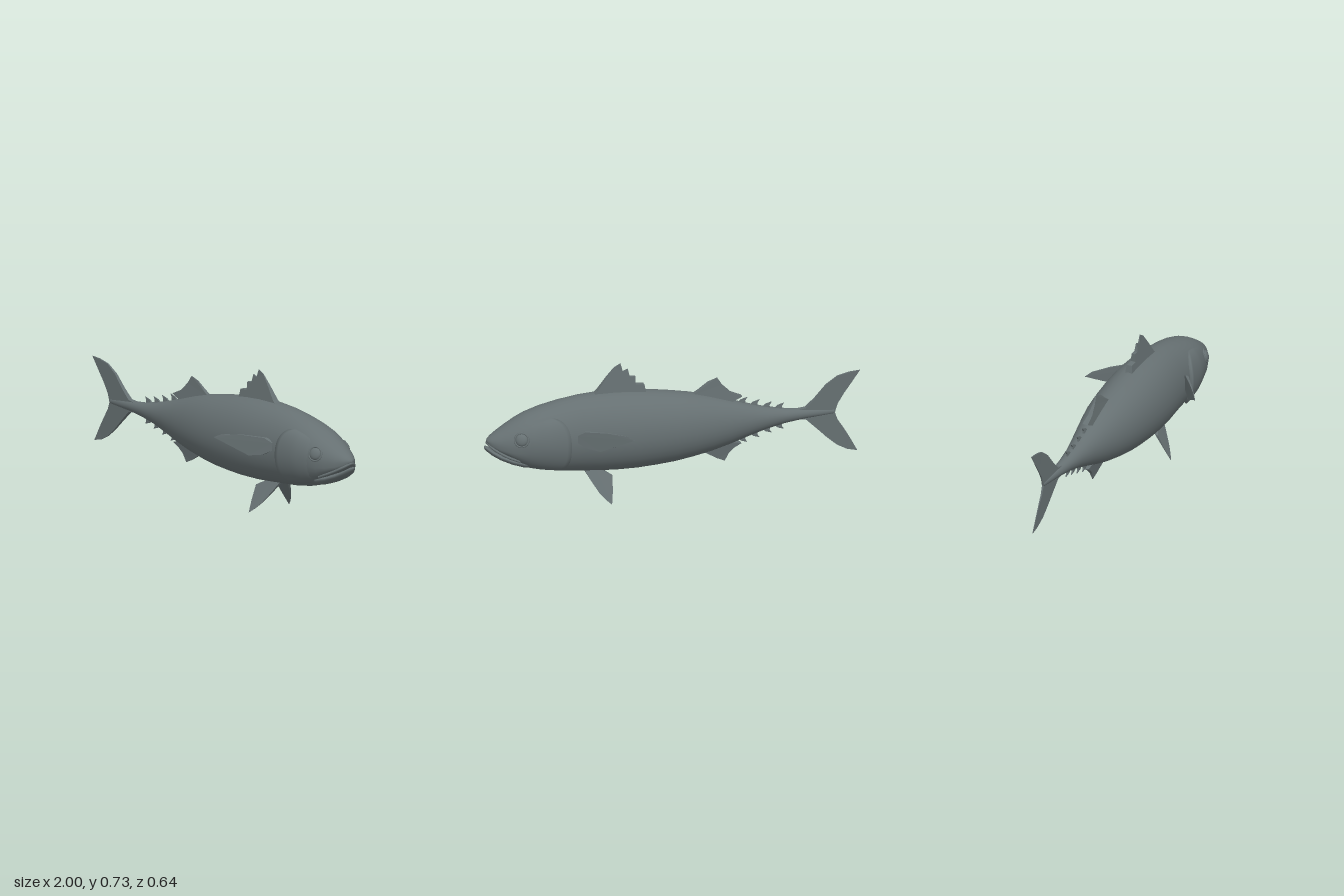
import * as THREE from 'three';

const skin = new THREE.MeshStandardMaterial({ color: 0x667072 });
skin.name = 'slate grey';

// Cross-sections: x, top, bottom, widest height, half width, lower roundness
const BODY = [
  [-0.86, 0.37, 0.345, 0.358, 0.008, 1], [-0.78, 0.38, 0.338, 0.358, 0.016, 1],
  [-0.7, 0.388, 0.332, 0.36, 0.026, 1], [-0.6, 0.396, 0.318, 0.36, 0.038, 1],
  [-0.5, 0.415, 0.295, 0.357, 0.052, 1], [-0.4, 0.442, 0.264, 0.355, 0.073, 1],
  [-0.3, 0.473, 0.231, 0.352, 0.097, 1], [-0.2, 0.503, 0.203, 0.35, 0.12, 1],
  [-0.1, 0.528, 0.182, 0.35, 0.14, 1], [0, 0.545, 0.165, 0.35, 0.153, 1],
  [0.1, 0.559, 0.155, 0.35, 0.161, 1], [0.2, 0.57, 0.148, 0.35, 0.165, 1],
  [0.3, 0.575, 0.147, 0.35, 0.165, 1], [0.4, 0.574, 0.15, 0.35, 0.159, 1],
  [0.5, 0.566, 0.158, 0.35, 0.149, 1], [0.6, 0.549, 0.165, 0.35, 0.143, 1],
  [0.7, 0.524, 0.18, 0.35, 0.141, 1], [0.78, 0.496, 0.202, 0.35, 0.13, 0.9],
  [0.83, 0.472, 0.24, 0.345, 0.116, 0.75], [0.88, 0.443, 0.278, 0.342, 0.096, 0.6],
  [0.93, 0.411, 0.305, 0.345, 0.07, 0.55], [0.965, 0.386, 0.327, 0.352, 0.043, 0.6],
  [0.982, 0.371, 0.342, 0.357, 0.023, 0.8], [0.988, 0.36, 0.353, 0.357, 0.004, 1],
];
const JAW = [
  [0.7, 0.3, 0.188, 0.25, 0.085, 1], [0.8, 0.262, 0.206, 0.24, 0.085, 1],
  [0.86, 0.27, 0.226, 0.255, 0.077, 1], [0.92, 0.293, 0.253, 0.278, 0.06, 1],
  [0.96, 0.313, 0.278, 0.3, 0.043, 1], [0.985, 0.327, 0.3, 0.317, 0.026, 1],
  [0.996, 0.33, 0.312, 0.323, 0.014, 1], [1, 0.325, 0.32, 0.323, 0.003, 1],
];

// Point on a section at an angle measured from its +z side, pushed out by off
function ringPoint([x, top, bot, mid, w, e], a, off = 0) {
  const s = Math.sin(a), c = Math.cos(a);
  const y = s > 0 ? mid + (top - mid + off) * s : mid - (mid - bot + off) * Math.pow(-s, e);
  const k = s > 0 ? 1 : e;
  return [x, y, (w + off) * Math.sign(c) * Math.pow(Math.abs(c), k)];
}

function sectionAt(x) {
  let i = 1;
  while (i < BODY.length - 1 && BODY[i][0] < x) i++;
  const a = BODY[i - 1], b = BODY[i], t = (x - a[0]) / (b[0] - a[0]);
  return a.map((v, k) => v + (b[k] - v) * t);
}

function buildGeometry(pos, idx) {
  const g = new THREE.BufferGeometry();
  g.setAttribute('position', new THREE.Float32BufferAttribute(pos, 3));
  g.setIndex(idx);
  g.computeVertexNormals();
  return g;
}

// Closed skin through the sections, with both ends capped
function loft(sections, n = 32) {
  const pos = [], idx = [], last = sections.length - 1;
  for (const s of sections)
    for (let j = 0; j < n; j++) pos.push(...ringPoint(s, (j / n) * Math.PI * 2));
  for (let i = 0; i < last; i++)
    for (let j = 0; j < n; j++) {
      const a = i * n + j, b = i * n + (j + 1) % n;
      idx.push(a, a + n, b, b, a + n, b + n);
    }
  [0, last].forEach((i) => {
    const c = pos.length / 3;
    pos.push(sections[i][0], sections[i][3], 0);
    for (let j = 0; j < n; j++) {
      const a = i * n + j, b = i * n + (j + 1) % n;
      idx.push(...(i === 0 ? [c, a, b] : [c, b, a]));
    }
  });
  return buildGeometry(pos, idx);
}

// Gill cover: a raised patch of the head with a curved rear lip
function gillCover(side) {
  const pos = [], idx = [], U = 12, V = 20;
  for (let i = 0; i <= U; i++)
    for (let j = 0; j <= V; j++) {
      const v = (j / V) * 2 - 1, a = -0.1 + v * 0.98;
      const rear = 0.57 + 0.09 * Math.pow(Math.abs(v), 3);
      const s = Math.max(0, (i - 1) / (U - 1));
      const fade = (1 - s * s) * (1 - Math.pow(v, 6));
      const off = i === 0 ? -0.012 : 0.018 * fade - 0.003;
      const p = ringPoint(sectionAt(rear + (0.8 - rear) * s), a, off);
      pos.push(p[0], p[1], p[2] * side);
    }
  for (let i = 0; i < U; i++)
    for (let j = 0; j < V; j++) {
      const a = i * (V + 1) + j, b = a + 1, c = a + V + 1, d = c + 1;
      idx.push(...(side > 0 ? [a, c, b, b, c, d] : [a, b, c, b, d, c]));
    }
  return buildGeometry(pos, idx);
}

// Fin: an outline whose half thickness and sideways shift follow rules of x, y
function fin(points, half, shift = () => 0) {
  const shape = new THREE.Shape(points.map((p) => new THREE.Vector2(...p)));
  const g = new THREE.ExtrudeGeometry(shape, { depth: 1, bevelEnabled: false });
  const p = g.attributes.position;
  for (let i = 0; i < p.count; i++) {
    const x = p.getX(i), y = p.getY(i), s = p.getZ(i) > 0.5 ? 1 : -1;
    p.setZ(i, s * Math.max(0.0015, half(x, y)) + shift(x, y));
  }
  g.computeVertexNormals();
  return g;
}

export function createModel() {
  const fish = new THREE.Group();
  fish.name = 'fish';
  const add = (name, geometry) => {
    const m = new THREE.Mesh(geometry, skin);
    m.name = name;
    fish.add(m);
    return m;
  };

  add('body', loft(BODY));
  add('lowerJaw', loft(JAW));

  // Upper lip around the mouth
  const lip = [[0.83, 0.262, 0.088], [0.88, 0.283, 0.083], [0.93, 0.308, 0.062], [0.965, 0.33, 0.038]];
  const lipPath = [...lip, [0.984, 0.347, 0], ...lip.map(([x, y, z]) => [x, y, -z]).reverse()];
  const lipCurve = new THREE.CatmullRomCurve3(lipPath.map((p) => new THREE.Vector3(...p)));
  add('upperLip', new THREE.TubeGeometry(lipCurve, 40, 0.007, 8));

  // Tail fin
  add('tailFin', fin([
    [-0.66, 0.385], [-0.71, 0.392], [-0.76, 0.44], [-0.82, 0.51], [-0.88, 0.553], [-0.94, 0.57],
    [-1, 0.575], [-0.955, 0.51], [-0.915, 0.455], [-0.88, 0.4], [-0.865, 0.352], [-0.88, 0.31],
    [-0.91, 0.265], [-0.945, 0.205], [-0.985, 0.13], [-0.93, 0.142], [-0.875, 0.172],
    [-0.82, 0.22], [-0.77, 0.27], [-0.71, 0.328], [-0.66, 0.335],
  ], (x) => 0.016 * (x + 0.96) / 0.3));

  // Fins along the back and belly
  add('frontDorsalFin', fin([
    [0.43, 0.555], [0.4, 0.585], [0.35, 0.655], [0.31, 0.705], [0.275, 0.725], [0.262, 0.68],
    [0.236, 0.692], [0.226, 0.648], [0.196, 0.648], [0.196, 0.605], [0.15, 0.602], [0.14, 0.55],
  ], (x, y) => 0.02 * (0.72 - y) / 0.16));
  add('rearDorsalFin', fin([
    [-0.1, 0.515], [-0.14, 0.542], [-0.19, 0.582], [-0.24, 0.6], [-0.265, 0.56], [-0.31, 0.515],
    [-0.37, 0.488], [-0.31, 0.46],
  ], (x, y) => 0.014 * (0.6 - y) / 0.1));
  add('analFin', fin([
    [-0.15, 0.205], [-0.19, 0.182], [-0.24, 0.152], [-0.28, 0.135], [-0.3, 0.178], [-0.325, 0.205],
    [-0.365, 0.23], [-0.3, 0.245],
  ], (x, y) => 0.014 * (y - 0.135) / 0.08));

  // Rows of finlets before the tail
  [-0.35, -0.415, -0.48, -0.545].forEach((x) => {
    const [, top, bot] = sectionAt(x - 0.02);
    for (const [name, y, s] of [['upperFinlet', top, 1], ['lowerFinlet', bot, -1]])
      add(name, fin([
        [x + 0.01, y - s * 0.01], [x - 0.015, y + s * 0.015], [x - 0.05, y + s * 0.026],
        [x - 0.038, y + s * 0.008], [x - 0.04, y - s * 0.015],
      ], (px, py) => 0.006 - 0.15 * Math.max(0, s * (py - y))));
  });

  for (const s of [1, -1]) {
    const side = s > 0 ? 'right' : 'left';
    add(side + 'GillCover', gillCover(s));

    // Swept side fin and splayed belly fin
    add(side + 'PectoralFin', fin([
      [0.535, 0.4], [0.5, 0.425], [0.4, 0.435], [0.31, 0.433], [0.275, 0.415], [0.34, 0.378],
      [0.43, 0.328], [0.49, 0.336], [0.535, 0.36],
    ], (x) => 0.01 * (x - 0.27) / 0.25, (x) => s * (0.135 + (0.535 - x) * 0.7)));
    add(side + 'PelvicFin', fin([
      [0.48, 0.175], [0.445, 0.11], [0.41, 0.055], [0.38, 0.022], [0.352, 0], [0.341, 0.06],
      [0.334, 0.135], [0.36, 0.15], [0.42, 0.175],
    ], (x, y) => 0.009 * y / 0.16, (x, y) => s * (0.025 + (0.165 - y) * 0.57 + (0.48 - x) * 0.17)));

    // Eye with a raised rim
    const eye = new THREE.Group();
    eye.name = side + 'Eye';
    const ball = new THREE.Mesh(new THREE.SphereGeometry(0.032, 24, 16), skin);
    ball.name = 'eyeball';
    ball.scale.z = 0.5;
    const rim = new THREE.Mesh(new THREE.TorusGeometry(0.036, 0.005, 8, 32), skin);
    rim.name = 'eyeRim';
    eye.add(ball, rim);
    eye.position.set(0.825, 0.388, s * 0.108);
    eye.rotation.set(-s * 0.3, s * 0.35, 0);
    fish.add(eye);
  }
  return fish;
}
